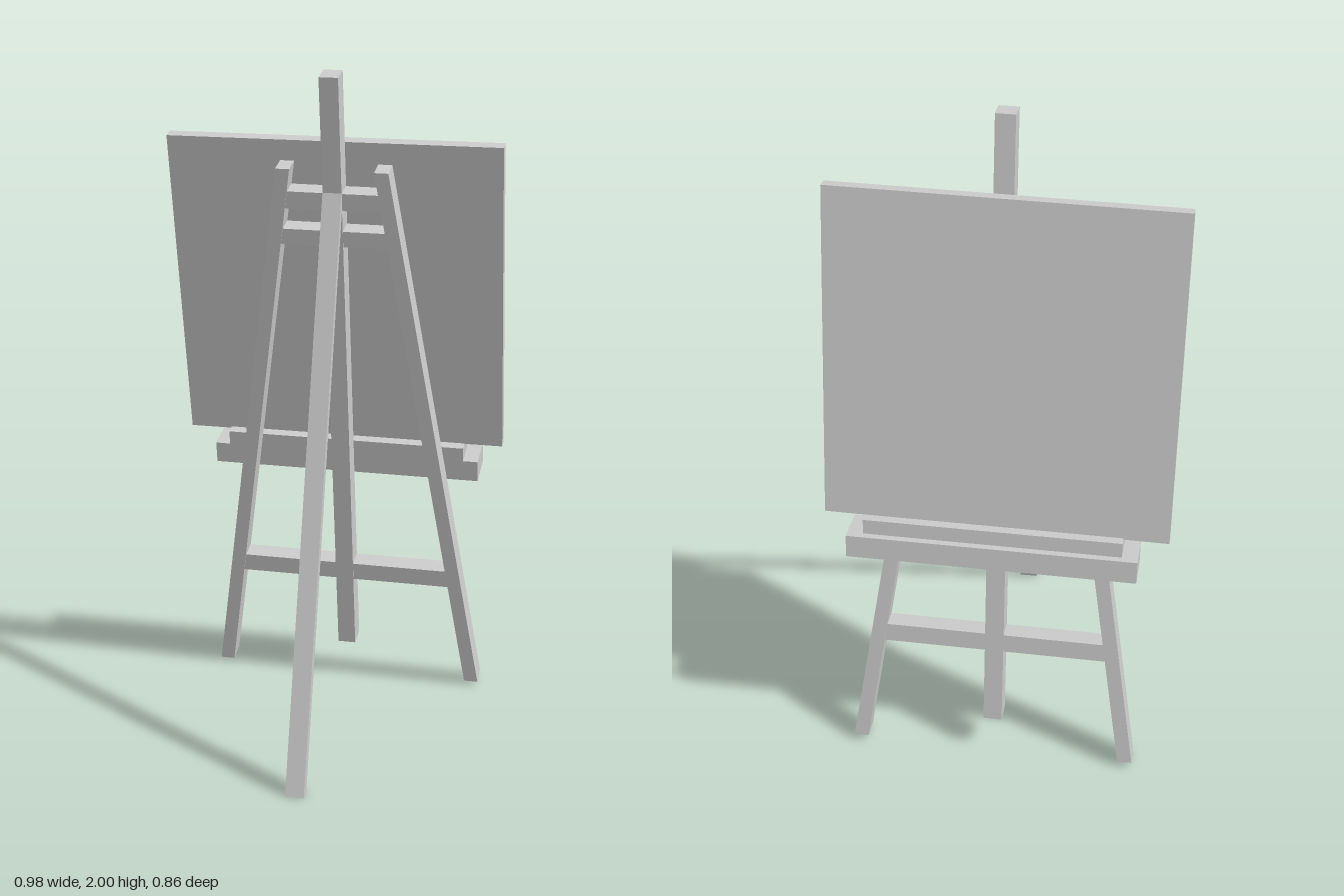
import * as THREE from 'three';

export function createModel() {
  const model = new THREE.Group();
  model.name = 'easel';
  const grey = new THREE.MeshStandardMaterial({ color: 0xcccccc });
  grey.name = 'plain grey';

  const CX = 0.0075;      // centre line of the stand
  const DEPTH = 0.066;    // thickness of the front frame

  function add(parent, name, geometry) {
    const mesh = new THREE.Mesh(geometry, grey);
    mesh.name = name;
    parent.add(mesh);
    return mesh;
  }

  // Box given by its lower and upper corners
  function block(parent, name, [x0, y0, z0], [x1, y1, z1]) {
    const g = new THREE.BoxGeometry(x1 - x0, y1 - y0, z1 - z0);
    g.translate((x0 + x1) / 2, (y0 + y1) / 2, (z0 + z1) / 2);
    return add(parent, name, g);
  }

  // Flat outline extruded to a given depth
  function prism(points, depth) {
    const shape = new THREE.Shape(points.map(p => new THREE.Vector2(...p)));
    return new THREE.ExtrudeGeometry(shape, { depth, bevelEnabled: false });
  }

  // Leaning front frame: local y runs up the slope, local z = 0 is its rear face
  const frame = new THREE.Group();
  frame.name = 'frontFrame';
  frame.position.set(CX, 0.01, -0.36);
  frame.rotation.x = 0.162;
  model.add(frame);

  // Splayed front legs
  for (const side of [-1, 1]) {
    const outline = [[0.382, 0], [0.425, 0], [0.163, 1.733], [0.122, 1.733]];
    const leg = prism(outline.map(([x, y]) => [x * side, y]), DEPTH);
    leg.translate(0, 0, -DEPTH);
    add(frame, side > 0 ? 'leftFrontLeg' : 'rightFrontLeg', leg);
  }

  // Central mast
  block(frame, 'mast', [-0.0275, 0.11, -DEPTH], [0.0275, 2.007, 0]);

  // Crossbars cut to follow the legs
  const reach = y => 0.385 - 0.26 * y / 1.733;
  for (const [name, y0, y1] of [
    ['lowerCrossbar', 0.355, 0.412],
    ['middleCrossbar', 1.5, 1.548],
    ['topCrossbar', 1.612, 1.664],
  ]) {
    const a = reach(y0), b = reach(y1);
    const bar = prism([[-a, y0], [a, y0], [b, y1], [-b, y1]], DEPTH - 0.006);
    bar.translate(0, 0, -DEPTH + 0.003);
    add(frame, name, bar);
  }

  // Tray and the ledge on top of it
  block(frame, 'tray', [-0.412, 0.713, -0.187], [0.412, 0.78, -DEPTH]);
  block(frame, 'ledge', [-0.367, 0.78, -0.165], [0.367, 0.824, -DEPTH]);

  // Rear prop leg, outlined in the z-y plane
  const prop = prism([[0.395, 0], [0.43, 0], [-0.09, 1.655], [-0.1, 1.61]], 0.055);
  prop.rotateY(-Math.PI / 2);
  prop.translate(CX + 0.0275, 0, 0);
  add(model, 'rearLeg', prop);

  // Canvas board resting on the ledge, very slightly askew
  const canvas = add(model, 'canvas', new THREE.BoxGeometry(0.977, 0.972, 0.036));
  canvas.position.set(-0.001, 1.317, -0.2525);
  canvas.rotation.set(0.186, 0, 0.005);

  return model;
}
